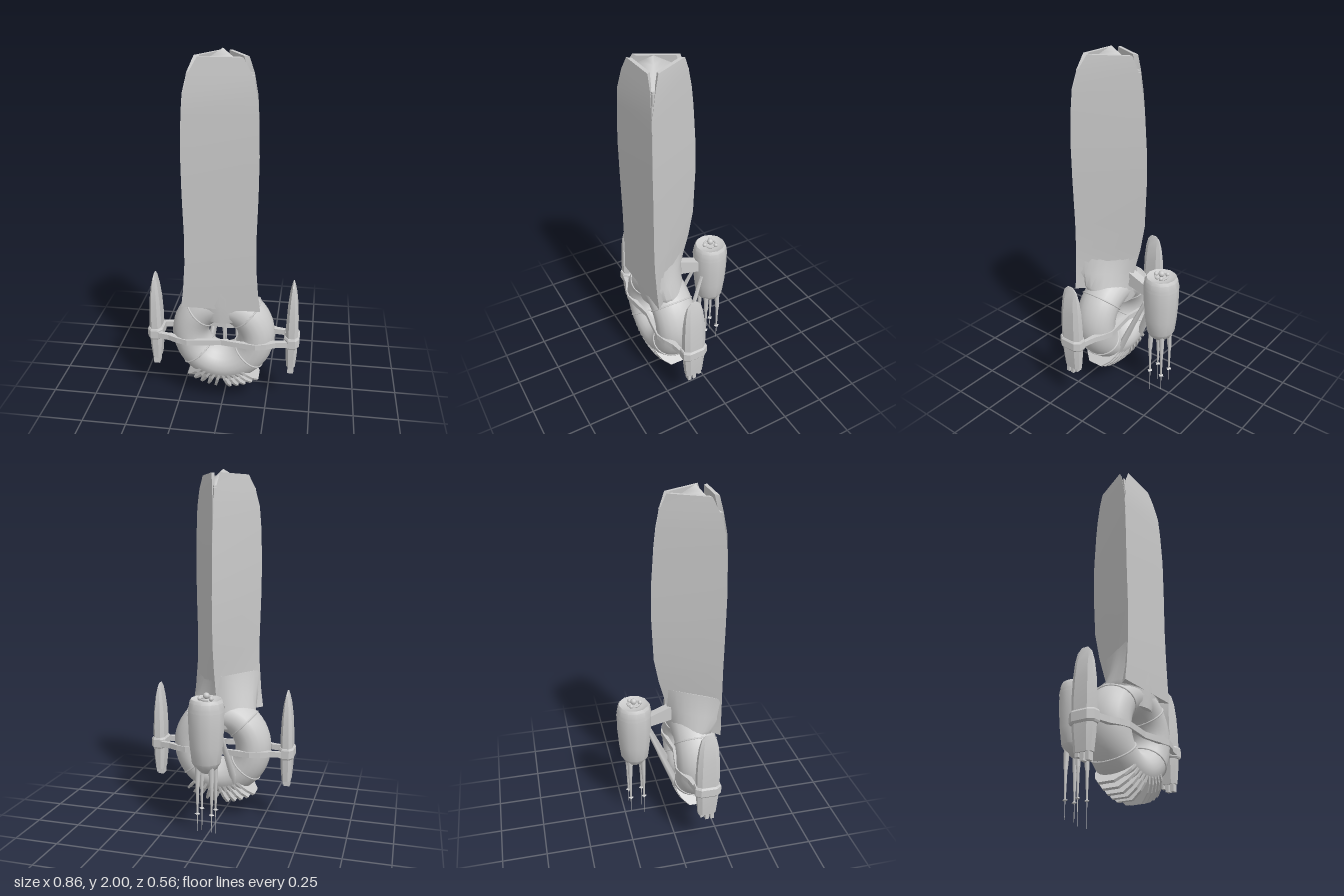
import * as THREE from 'three';
import { toCreasedNormals } from 'three/addons/utils/BufferGeometryUtils.js';

const mat = new THREE.MeshStandardMaterial({ color: 0xcccccc, side: THREE.DoubleSide });
const V = (x, y, z) => new THREE.Vector3(x, y, z);

function add(parent, name, geo, x = 0, y = 0, z = 0) {
  const m = new THREE.Mesh(geo, mat);
  m.name = name;
  m.position.set(x, y, z);
  parent.add(m);
  return m;
}

// Closed skin over rings of points, rings ordered upwards and counter-clockwise from above
function loft(rings, crease = 0.5) {
  const pos = [], n = rings[0].length;
  const tri = (...ps) => ps.forEach(p => pos.push(p.x, p.y, p.z));
  for (let i = 0; i + 1 < rings.length; i++)
    for (let j = 0; j < n; j++) {
      const a = rings[i][j], b = rings[i][(j + 1) % n], c = rings[i + 1][(j + 1) % n], d = rings[i + 1][j];
      tri(a, b, c);
      tri(a, c, d);
    }
  const lo = rings[0], hi = rings[rings.length - 1];
  for (let j = 1; j + 1 < n; j++) {
    tri(lo[0], lo[j + 1], lo[j]);
    tri(hi[0], hi[j], hi[j + 1]);
  }
  const g = new THREE.BufferGeometry();
  g.setAttribute('position', new THREE.Float32BufferAttribute(pos, 3));
  return toCreasedNormals(g, crease);
}

// Tapered bar between two points
function bar(parent, name, a, b, r0, r1, sides = 6) {
  const d = b.clone().sub(a);
  const m = add(parent, name, new THREE.CylinderGeometry(r1, r0, d.length(), sides));
  m.position.copy(a).addScaledVector(d, 0.5);
  m.quaternion.setFromUnitVectors(V(0, 1, 0), d.normalize());
}

// Tower sections: height, half width, front z, rear edge z, panel width share
const SECTIONS = [
  [0.64, 0.215, 0.272, 0.03, 1], [0.74, 0.202, 0.275, 0.012, 1], [0.9, 0.19, 0.278, -0.033, 1],
  [1.05, 0.188, 0.278, -0.062, 1], [1.3, 0.195, 0.278, -0.074, 1], [1.5, 0.197, 0.278, -0.072, 1],
  [1.7, 0.192, 0.272, -0.06, 0.99], [1.8, 0.188, 0.268, -0.053, 0.96],
  [1.9, 0.175, 0.255, -0.045, 0.86], [1.97, 0.157, 0.245, -0.04, 0.7],
];
const corners = ([y, w, f, a]) => [V(w, y, f), V(0, y, a), V(-w, y, f)];

// Blend of a triangle (t = 0) and an ellipse (t = 1)
function baseSection([y, w, f, a, t]) {
  const c = corners([y, w, f, a]), angles = [40, -90, -220, -320], ring = [];
  for (let k = 0; k < 3; k++)
    for (let j = 0; j < 8; j++) {
      const phi = THREE.MathUtils.degToRad(THREE.MathUtils.lerp(angles[k], angles[k + 1], j / 8));
      const round = V(w * Math.cos(phi), y, (f + a) / 2 + (f - a) / 2 * Math.sin(phi));
      ring.push(c[k].clone().lerp(c[(k + 1) % 3], j / 8).lerp(round, t));
    }
  return ring;
}

function buildTower(g) {
  // Inner core and pointed cap
  const core = SECTIONS.slice(0, -1).map(s => {
    const c = corners(s), mid = V(0, s[0], (2 * s[2] + s[3]) / 3);
    return c.map(p => p.lerp(mid, 0.07));
  });
  add(g, 'towerCore', loft(core));
  add(g, 'towerCap', new THREE.ConeGeometry(0.19, 0.11, 3, 4), 0, 1.945, 0.155).rotation.y = Math.PI;

  // Three panels whose tops taper away from the corners
  ['leftPanel', 'rightPanel', 'frontPanel'].forEach((name, k) => {
    const rings = SECTIONS.map(s => {
      const c = corners(s), p = c[k], q = c[(k + 1) % 3];
      const mid = p.clone().lerp(q, 0.5), half = q.clone().sub(p).multiplyScalar(0.5 * s[4]);
      const inward = V(0, 1, 0).cross(half).normalize().multiplyScalar(0.02);
      const at = (t, n) => mid.clone().addScaledVector(half, t).addScaledVector(inward, n);
      return [at(-1, 0), at(1, 0), at(0.84, 1), at(-0.84, 1)];
    });
    add(g, name, loft(rings));
  });

  // Rounded base flowing into the ring
  const base = [[0.55, 0.13, 0.268, 0.035, 1], [0.6, 0.19, 0.272, 0.03, 0.95], [0.66, 0.208, 0.274, 0.027, 0.7],
    [0.74, 0.202, 0.275, 0.013, 0.3], [0.86, 0.19, 0.276, -0.02, 0]];
  add(g, 'towerBase', loft(base.map(baseSection), 0.8));
}

const R = 0.187, TUBE = 0.103;

function buildRing(g) {
  const ring = new THREE.Group();
  ring.name = 'lowerRing';
  ring.position.set(0, 0.43, 0.15);
  g.add(ring);
  add(ring, 'ringTube', new THREE.TorusGeometry(R, TUBE, 20, 48)).scale.z = 1.17;

  // Collars around the tube
  for (const deg of [45, 135, -40, -140]) {
    const a = THREE.MathUtils.degToRad(deg);
    const c = add(ring, 'collar', new THREE.TorusGeometry(TUBE, 0.005, 6, 28), R * Math.cos(a), R * Math.sin(a), 0);
    c.rotation.set(Math.PI / 2, 0, a, 'ZXY');
    c.scale.y = 1.17;
  }

  // Fan of plates under the ring
  const shape = new THREE.Shape([[-0.118, -0.05], [0.118, -0.05], [0.105, 0.02], [0.085, 0.06], [0.045, 0.105],
    [-0.045, 0.105], [-0.085, 0.06], [-0.105, 0.02]].map(p => new THREE.Vector2(p[0], -p[1])));
  const plate = new THREE.ExtrudeGeometry(shape, { depth: 0.014, bevelEnabled: false });
  plate.translate(0, 0, -0.007).rotateY(Math.PI / 2);
  for (let i = 0; i < 10; i++) {
    const t = i - 4.5;
    const fan = new THREE.Group();
    fan.name = 'fanBlade';
    fan.rotation.z = t * 0.125;
    ring.add(fan);
    add(fan, 'fanPlate', plate, 0, -0.24, 0).rotation.z = Math.sign(t) * 0.2;
  }
}

function buildBelt(g) {
  // Strap hugging the ring and reaching out to both side pods
  const mirror = pts => [...pts, ...pts.slice(1, -1).reverse().map(([x, z]) => [-x, z])]
    .map(([x, z]) => new THREE.Vector2(x, z));
  const outer = [[0, 0.25], [0.1, 0.266], [0.19, 0.279], [0.25, 0.262], [0.3, 0.238], [0.37, 0.224],
    [0.37, 0.08], [0.3, 0.065], [0.25, 0.04], [0.19, 0.021], [0.1, 0.034], [0, 0.05]];
  const inner = [[0, 0.235], [0.1, 0.245], [0.19, 0.255], [0.25, 0.235], [0.285, 0.212], [0.345, 0.207],
    [0.345, 0.097], [0.285, 0.09], [0.25, 0.065], [0.19, 0.045], [0.1, 0.055], [0, 0.065]];
  const shape = new THREE.Shape(mirror(outer));
  shape.holes.push(new THREE.Path(mirror(inner)));
  const geo = new THREE.ExtrudeGeometry(shape, { depth: 0.032, bevelEnabled: false });
  geo.rotateX(Math.PI / 2);
  add(g, 'belt', geo, 0, 0.432, 0);
}

function buildSidePod(g, side) {
  const pod = new THREE.Group();
  pod.name = side > 0 ? 'leftPod' : 'rightPod';
  pod.position.set(0.385 * side, 0, 0.152);
  g.add(pod);
  const octagon = ([y, w, d]) => [[1, -0.6], [0.5, -1], [-0.5, -1], [-1, -0.6], [-1, 0.6], [-0.5, 1], [0.5, 1], [1, 0.6]]
    .map(([x, z]) => V(x * w, y, z * d));
  const rows = [[0.25, 0.024, 0.05], [0.34, 0.032, 0.058], [0.42, 0.034, 0.063], [0.52, 0.033, 0.064],
    [0.62, 0.028, 0.06], [0.7, 0.019, 0.052], [0.75, 0.009, 0.04], [0.775, 0.003, 0.018]];
  add(pod, 'podHull', loft(rows.map(octagon), 0.4));
  const band = [[0.385, 0.036, 0.07], [0.395, 0.043, 0.074], [0.44, 0.043, 0.074], [0.45, 0.036, 0.07]];
  add(pod, 'podBand', loft(band.map(octagon), 0.2));
  // Tail prongs
  for (const [z, low] of [[-0.03, 0.23], [0, 0.21], [0.03, 0.21]])
    add(pod, 'tailProng', new THREE.BoxGeometry(0.034, 0.29 - low, 0.02), 0, (0.29 + low) / 2, z);
}

function buildRearPod(g) {
  const pod = new THREE.Group();
  pod.name = 'rearPod';
  pod.position.z = -0.18;
  g.add(pod);
  const profile = [[0, 0.36], [0.03, 0.37], [0.06, 0.395], [0.081, 0.43], [0.092, 0.52], [0.099, 0.62], [0.1, 0.72],
    [0.094, 0.765], [0.084, 0.782], [0.074, 0.778], [0.045, 0.765], [0, 0.77]].map(p => new THREE.Vector2(...p));
  add(pod, 'rearPodHull', toCreasedNormals(new THREE.LatheGeometry(profile, 12), 0.6));
  add(pod, 'rearPodBand', new THREE.CylinderGeometry(0.1, 0.102, 0.02, 12, 1, true), 0, 0.725, 0);

  // Domes and ring segments on top
  add(pod, 'topDome', new THREE.SphereGeometry(0.018, 14, 10), 0, 0.797, 0);
  for (let i = 0; i < 3; i++) {
    const a = Math.PI / 2 + i * Math.PI * 2 / 3;
    add(pod, 'smallDome', new THREE.SphereGeometry(0.012, 12, 8), 0.037 * Math.cos(a), 0.785, 0.037 * Math.sin(a));
    const arc = new THREE.TorusGeometry(0.034, 0.006, 6, 8, 1.1).rotateX(Math.PI / 2);
    add(pod, 'topArc', arc, 0, 0.78, 0).rotation.y = -(a + Math.PI / 3 - 0.55);
  }

  // Four hanging spines with flat beads
  for (const x of [-0.04, 0.04])
    for (const [z, low] of [[0.043, 0], [-0.038, 0.04]]) {
      bar(pod, 'spineRoot', V(x, 0.3, z), V(x * 0.9, 0.46, z * 0.9), 0.012, 0.018, 8);
      bar(pod, 'spine', V(x, 0.14, z), V(x, 0.31, z), 0.005, 0.011);
      bar(pod, 'spineTip', V(x, low, z), V(x, 0.15, z), 0.0012, 0.003);
      add(pod, 'spineBead', new THREE.OctahedronGeometry(0.017), x, 0.14, z).scale.y = 0.55;
    }
}

function buildStruts(g) {
  // Upper wedge brace
  const wedge = new THREE.Shape([[0.05, 0.75], [0.05, 0.66], [-0.1, 0.625], [-0.1, 0.69]]
    .map(([z, y]) => new THREE.Vector2(-z, y)));
  const geo = new THREE.ExtrudeGeometry(wedge, { depth: 0.05, bevelEnabled: false });
  geo.translate(0, 0, -0.025).rotateY(Math.PI / 2);
  add(g, 'upperBrace', geo);
  // Paired lower struts
  for (const s of [-1, 1])
    bar(g, 'lowerStrut', V(0.1 * s, 0.24, 0.05), V(0.045 * s, 0.6, -0.1), 0.022, 0.012, 4);
}

export function createModel() {
  const g = new THREE.Group();
  g.name = 'towerShip';
  buildTower(g);
  buildRing(g);
  buildBelt(g);
  for (const side of [1, -1]) buildSidePod(g, side);
  buildRearPod(g);
  buildStruts(g);
  return g;
}
